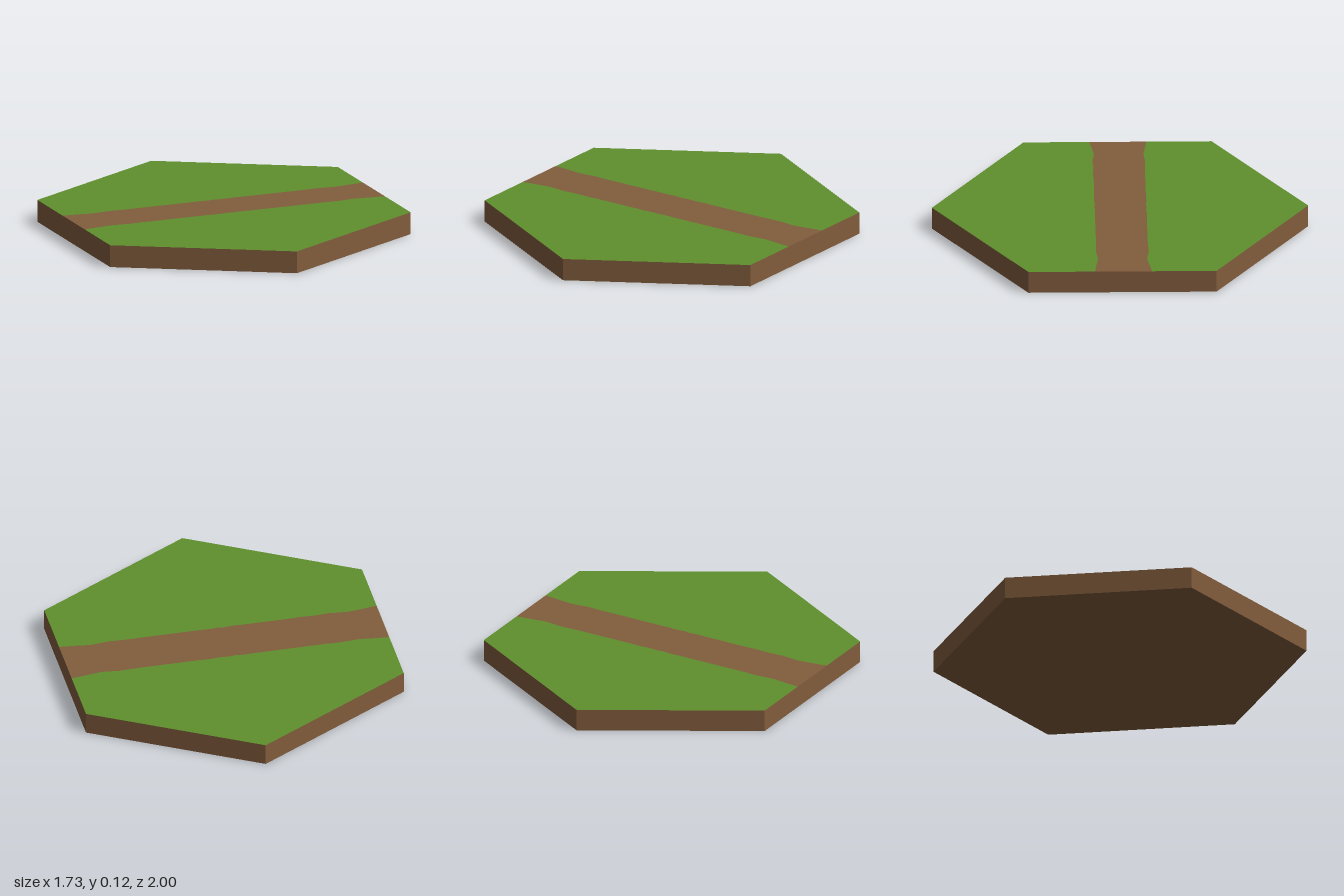
import * as THREE from 'three';

const HEIGHT = 0.12;
const HALF = Math.sqrt(3) / 2; // half width across the flats

export function createModel() {
  const model = new THREE.Group();
  model.name = 'hexTile';

  const earth = new THREE.MeshStandardMaterial({ color: 0x825d3d });
  earth.name = 'earthBrown';
  const grass = new THREE.MeshStandardMaterial({ color: 0x5f902d });
  grass.name = 'grassGreen';

  const add = (name, geometry, material) => {
    const mesh = new THREE.Mesh(geometry, material);
    mesh.name = name;
    model.add(mesh);
    return mesh;
  };

  // Earth rim: six flat walls with corners pointing to the front and back
  const rim = new THREE.CylinderGeometry(1, 1, HEIGHT, 6, 1, true).toNonIndexed();
  rim.computeVertexNormals();
  add('earthRim', rim, earth).position.y = HEIGHT / 2;

  // Underside
  const base = new THREE.CircleGeometry(1, 6, Math.PI / 2);
  add('underside', base.rotateX(Math.PI / 2), earth);

  // Flat pieces of the top, outlined as [x, z]
  const addTop = (name, outline, material) => {
    const shape = new THREE.Shape(outline.map(([x, z]) => new THREE.Vector2(x, -z)));
    const geometry = new THREE.ShapeGeometry(shape).rotateX(-Math.PI / 2);
    add(name, geometry, material).position.y = HEIGHT;
  };

  // Slightly ragged path edges, from the right side (-x) to the left (+x)
  const backEdge = [
    [-HALF, -0.153], [-0.8, -0.147], [-0.7, -0.135], [-0.6, -0.144], [-0.54, -0.14],
    [-0.12, -0.14], [-0.08, -0.143], [-0.03, -0.137], [0, -0.142], [0.05, -0.138],
    [0.12, -0.143], [0.17, -0.14], [0.5, -0.14], [0.6, -0.144], [0.7, -0.133],
    [0.8, -0.148], [HALF, -0.156],
  ];
  const frontEdge = [
    [-HALF, 0.151], [-0.8, 0.14], [-0.7, 0.128], [-0.6, 0.138], [-0.53, 0.133],
    [-0.44, 0.137], [-0.38, 0.134], [-0.12, 0.135], [-0.08, 0.138], [-0.03, 0.132],
    [0, 0.138], [0.04, 0.132], [0.1, 0.135], [0.5, 0.135], [0.6, 0.138],
    [0.7, 0.127], [0.8, 0.14], [HALF, 0.146],
  ];

  addTop('path', [...backEdge, ...[...frontEdge].reverse()], earth);
  addTop('backGrass', [...backEdge, [HALF, -0.5], [0, -1], [-HALF, -0.5]], grass);
  addTop('frontGrass', [...frontEdge, [HALF, 0.5], [0, 1], [-HALF, 0.5]], grass);

  return model;
}
